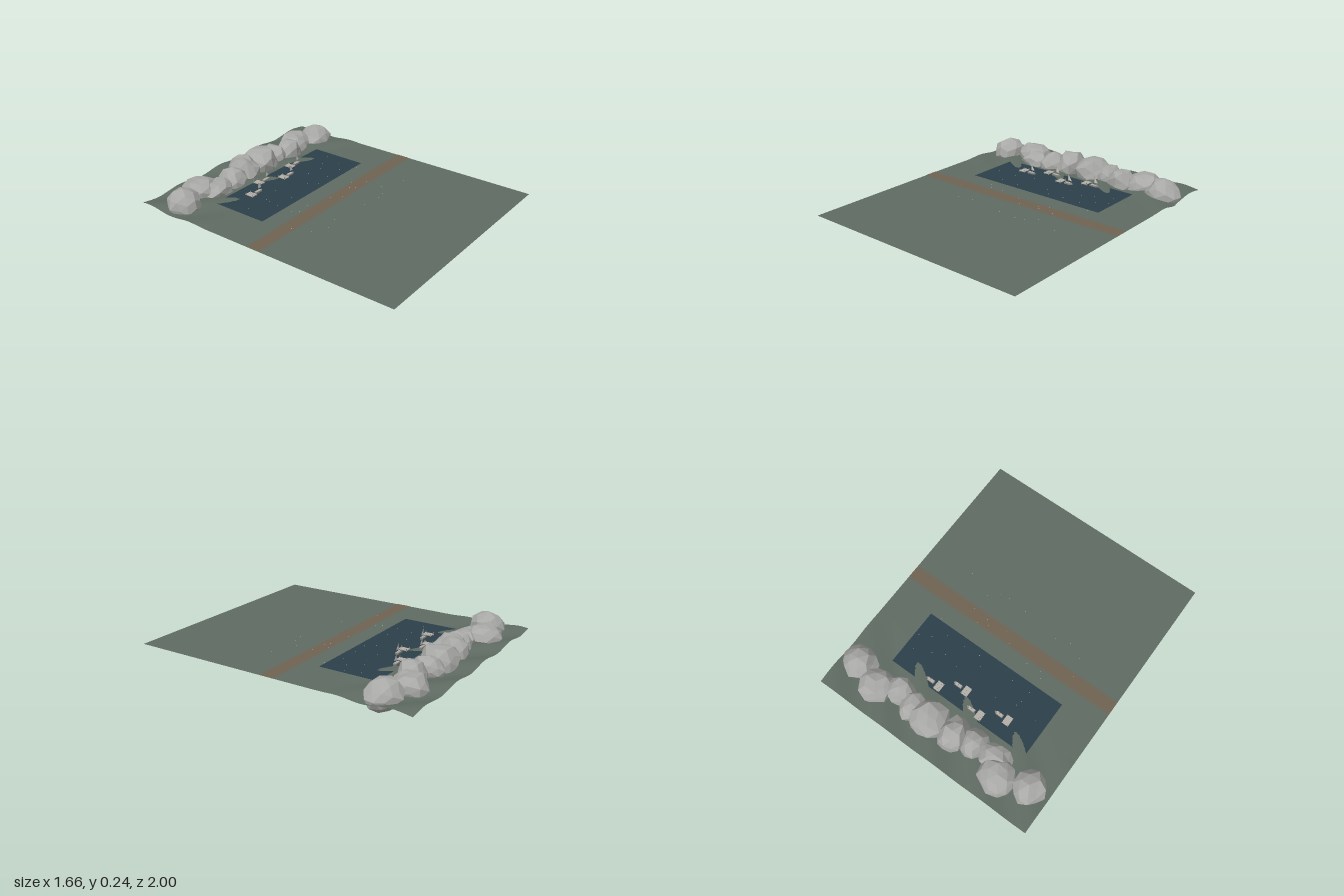
import * as THREE from 'three';

const paint = (name, color, extra = {}) => Object.assign(new THREE.MeshStandardMaterial({ color, ...extra }), { name });

export function createModel() {
  const both = { side: THREE.DoubleSide };
  const mats = {
    meadow: paint('meadow', 0x5f6b62, both),
    water: paint('water', 0x2b404b, both),
    path: paint('path', 0x6f6251, both),
    pathEdge: paint('pathEdge', 0x67665a, both),
    rock: paint('rock', 0xa8a8a6, { flatShading: true }),
    plank: paint('plank', 0xb4b0a8),
    hull: paint('hull', 0x8a8780),
    sail: paint('sail', 0xd0cdc5, both),
    speck: paint('speck', 0xd2d0c6),
  };
  const root = new THREE.Group();
  const add = (parent, name, geo, mat, x = 0, y = 0, z = 0) => {
    const m = new THREE.Mesh(geo, mat);
    m.name = name;
    m.position.set(x, y, z);
    parent.add(m);
    return m;
  };

  // Land: flat in front, rolling in slanted ridges towards the back
  const landHeight = (x, z) => {
    const fade = THREE.MathUtils.smoothstep(-z, 0.32, 0.72);
    return 0.108 + 0.0105 * fade * Math.cos((Math.PI * 2 / 0.4) * (x - (z + 0.55) + 0.05));
  };
  const land = new THREE.PlaneGeometry(1.665, 2, 64, 80).rotateX(-Math.PI / 2);
  const lp = land.attributes.position;
  for (let i = 0; i < lp.count; i++) lp.setY(i, landHeight(lp.getX(i), lp.getZ(i)));
  land.computeVertexNormals();
  add(root, 'land', land, mats.meadow);

  // Flat sheets: lake and path with softer borders
  const sheet = (name, x0, x1, z0, z1, y, mat) =>
    add(root, name, new THREE.PlaneGeometry(x1 - x0, z1 - z0).rotateX(-Math.PI / 2), mat,
      (x0 + x1) / 2, y, (z0 + z1) / 2);
  sheet('lake', -0.548, 0.538, -0.61, -0.193, 0.113, mats.water);
  sheet('pathBorder', -0.832, 0.832, -0.075, 0.04, 0.1095, mats.pathEdge);
  sheet('path', -0.832, 0.832, -0.06, 0.027, 0.1105, mats.path);

  // Rocks: faceted balls whose corners move in and out by a repeatable rule
  const noise = (x, y, z, s) => {
    const v = Math.sin(x * 12.99 + y * 78.23 + z * 37.72 + s * 9.17) * 43758.5453;
    return v - Math.floor(v);
  };
  const rockGeo = (seed) => {
    const g = new THREE.IcosahedronGeometry(1, 1);
    const p = g.attributes.position;
    const v = new THREE.Vector3();
    for (let i = 0; i < p.count; i++) {
      v.fromBufferAttribute(p, i);
      const q = [v.x, v.y, v.z].map((n) => Math.round(n * 100) / 100 + 0);
      v.multiplyScalar(0.86 + 0.22 * noise(q[0], q[1], q[2], seed));
      p.setXYZ(i, v.x, v.y, v.z);
    }
    g.computeVertexNormals();
    return g;
  };
  // x, y, z, then half sizes
  const rocks = [
    [-0.69, 0.125, -0.76, 0.115, 0.105, 0.125],
    [-0.49, 0.13, -0.82, 0.135, 0.09, 0.125],
    [-0.4, 0.115, -0.73, 0.12, 0.085, 0.095],
    [-0.24, 0.12, -0.74, 0.1, 0.1, 0.105],
    [-0.1, 0.14, -0.77, 0.1, 0.115, 0.13],
    [0.09, 0.125, -0.78, 0.14, 0.13, 0.135],
    [0.23, 0.135, -0.78, 0.09, 0.085, 0.11],
    [0.36, 0.125, -0.74, 0.11, 0.105, 0.095],
    [0.51, 0.12, -0.8, 0.13, 0.095, 0.125],
    [0.7, 0.125, -0.75, 0.13, 0.1, 0.115],
  ];
  const ridge = new THREE.Group();
  ridge.name = 'rockRidge';
  rocks.forEach(([x, y, z, a, b, c], i) => {
    add(ridge, 'rock', rockGeo(i + 1), mats.rock, x, y, z).scale.set(a, b, c);
  });
  root.add(ridge);

  // Jetties: planks on posts, each with a sailing boat alongside
  const plank = new THREE.BoxGeometry(0.048, 0.004, 0.012);
  const post = new THREE.BoxGeometry(0.004, 0.026, 0.004);
  const hullShape = new THREE.Shape();
  hullShape.moveTo(-0.03, -0.012);
  hullShape.lineTo(0.02, -0.012);
  hullShape.lineTo(0.036, 0);
  hullShape.lineTo(0.02, 0.012);
  hullShape.lineTo(-0.03, 0.012);
  const hull = new THREE.ExtrudeGeometry(hullShape, { depth: 0.01, bevelEnabled: false }).rotateX(-Math.PI / 2);
  const sailShape = new THREE.Shape();
  sailShape.moveTo(0, 0);
  sailShape.lineTo(0.03, 0);
  sailShape.lineTo(0, 0.042);
  const sail = new THREE.ShapeGeometry(sailShape);
  [[-0.325, -0.49], [-0.158, -0.57], [0.01, -0.49], [0.177, -0.57]].forEach(([x, z]) => {
    const berth = new THREE.Group();
    berth.name = 'berth';
    berth.position.set(x, 0.113, z);
    for (let i = -2; i <= 2; i++) add(berth, 'plank', plank, mats.plank, 0, 0.009, i * 0.013);
    for (const sx of [-1, 1]) {
      for (const sz of [-1, 1]) add(berth, 'post', post, mats.hull, sx * 0.021, 0.008, sz * 0.028);
    }
    add(berth, 'boatHull', hull, mats.hull, 0.07, 0, 0.003);
    add(berth, 'boatDeck', new THREE.BoxGeometry(0.044, 0.003, 0.018), mats.plank, 0.067, 0.011, 0.003);
    add(berth, 'mast', new THREE.CylinderGeometry(0.0012, 0.0012, 0.066, 6), mats.hull, 0.069, 0.039, 0.003);
    add(berth, 'sail', sail, mats.sail, 0.07, 0.028, 0.003);
    root.add(berth);
  });

  // Tiny blossoms scattered over lake, path and meadow
  const spots = [
    [-0.47, -0.38], [-0.31, -0.37], [-0.32, -0.33], [-0.33, -0.25], [-0.19, -0.25], [-0.17, -0.41],
    [0.04, -0.3], [0.09, -0.24], [0.17, -0.39], [0.21, -0.25], [0.28, -0.37], [0.36, -0.41],
    [0.35, -0.25], [0.43, -0.32], [0.51, -0.36], [0.48, -0.46], [0.46, -0.18], [-0.33, -0.13],
    [-0.3, -0.09], [-0.2, -0.1], [-0.02, -0.05], [0.17, -0.03], [0.24, -0.06], [0.2, 0],
    [-0.5, 0.01], [0.04, 0.01], [0.32, 0.01], [-0.46, 0.14], [-0.25, 0.16], [-0.35, 0.19],
    [0.03, 0.2], [0.17, 0.21], [0.24, 0.2], [0.31, 0.14], [0.49, 0.21],
  ];
  const bud = new THREE.OctahedronGeometry(0.003);
  spots.forEach(([x, z]) => add(root, 'blossom', bud, mats.speck, x, z < -0.19 ? 0.115 : 0.112, z));

  // Rest the lowest rock on y = 0
  const low = new THREE.Box3().setFromObject(ridge, true).min.y;
  ridge.position.y = -low;
  return root;
}
